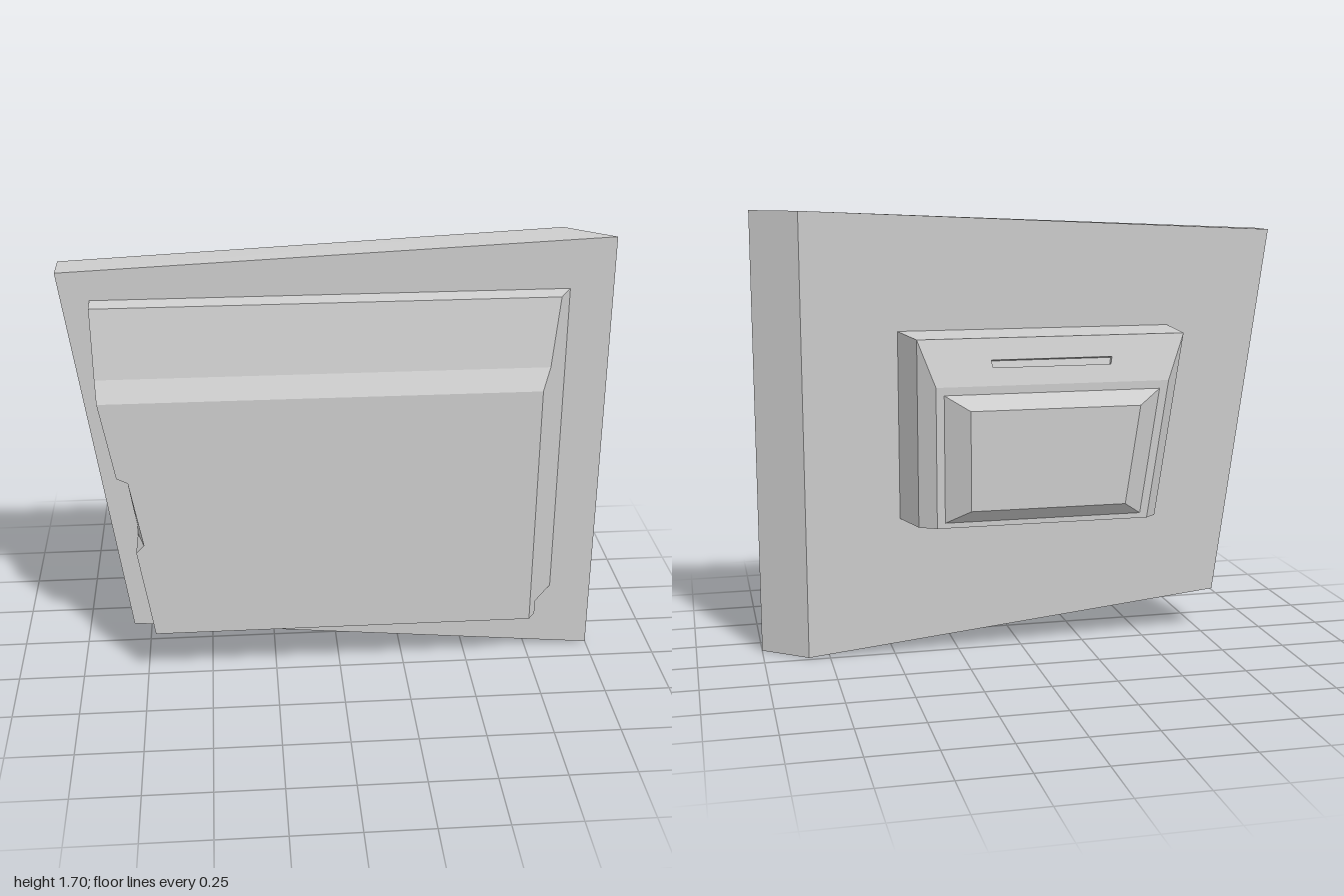
import * as THREE from 'three';

// Add a flat quad (corners counter-clockwise from outside)
function quad(out, a, b, c, d) {
  for (const p of [a, b, c, a, c, d]) out.push(p.x, p.y, p.z);
}

// Quad with a rectangular pocket sunk into it: [u0, u1, v0, v1, depth]
function pocketQuad(out, corners, [u0, u1, v0, v1, depth]) {
  const [a, b, c, d] = corners;
  const at = (u, v) => a.clone().lerp(b, u).lerp(d.clone().lerp(c, u), v);
  const rim = [at(u0, v0), at(u1, v0), at(u1, v1), at(u0, v1)];
  const inward = b.clone().sub(a).cross(d.clone().sub(a)).normalize().multiplyScalar(-depth);
  const floor = rim.map((p) => p.clone().add(inward));
  for (let i = 0; i < 4; i++) {
    const j = (i + 1) % 4;
    quad(out, corners[i], corners[j], rim[j], rim[i]);
    quad(out, rim[i], rim[j], floor[j], floor[i]);
  }
  quad(out, ...floor);
}

// Join four-sided cross-sections, cap both ends, keep every face flat
function loft(sections, pockets = {}) {
  const out = [];
  const rings = sections.map((s) => s.map((p) => new THREE.Vector3(...p)));
  for (let k = 0; k < rings.length - 1; k++) {
    const a = rings[k], b = rings[k + 1];
    for (let i = 0; i < 4; i++) {
      const j = (i + 1) % 4;
      const corners = [a[i], a[j], b[j], b[i]];
      const pocket = pockets[`${k}:${i}`];
      if (pocket) pocketQuad(out, corners, pocket);
      else quad(out, ...corners);
    }
  }
  quad(out, ...rings[0].slice().reverse());
  quad(out, ...rings[rings.length - 1]);
  const geo = new THREE.BufferGeometry();
  geo.setAttribute('position', new THREE.Float32BufferAttribute(out, 3));
  geo.computeVertexNormals();
  return geo;
}

// Section across y: left edge may differ between back and front
const xRight = (z) => 0.84 - (z - 0.15) * 0.71;
const levelSection = (y, zBack, zFront, xBack, xFront = xBack) => [
  [xBack, y, zBack], [xRight(zBack), y, zBack],
  [xRight(zFront), y, zFront], [xFront, y, zFront],
];

// Section across z whose -x edge leans inward toward the bottom
const depthSection = (z, xTop, xr, y0, y1) => [
  [xTop + 0.15 * (y1 - y0), y0, z], [xTop, y1, z], [xr, y1, z], [xr, y0, z],
];

export function createModel() {
  const group = new THREE.Group();
  const grey = new THREE.MeshStandardMaterial({ color: 0xcccccc, flatShading: true });
  grey.name = 'light grey';
  const add = (name, geo) => {
    const mesh = new THREE.Mesh(geo, grey);
    mesh.name = name;
    group.add(mesh);
  };

  // Slanted backing slab with one bevelled edge
  const slab = (z, xr) => [[-0.8, 0.17, z], [xr, 0, z], [xr, 1.7, z], [-1, 1.615, z]];
  add('backingSlab', loft([slab(0.02, 0.83), slab(0.15, 1)]));

  // Front panel: sloped top, bevelled right side, notched left edge
  const panel = [
    [1.51, 0.151, -0.885], [1.5, 0.21, -0.885], [1.25, 0.26, -0.878], [1.175, 0.305, -0.872],
    [0.88, 0.305, -0.82], [0.86, 0.305, -0.80, -0.78], [0.6, 0.305, -0.765, -0.735],
    [0.57, 0.305, -0.765], [0.27, 0.305, -0.718],
  ];
  add('frontPanel', loft(panel.map(([y, z, xb, xf]) => levelSection(y, 0.15, z, xb, xf))));

  // Lip hanging below the panel
  add('panelLip', loft([
    levelSection(0.27, 0.265, 0.305, -0.718),
    levelSection(0.215, 0.265, 0.305, -0.71),
  ]));

  // Rear housing with a side pocket and a slot in its sloped top
  add('rearHousing', loft([
    depthSection(0.02, -0.59, 0.47, 0.53, 1.25),
    depthSection(-0.18, -0.59, 0.43, 0.54, 1.24),
    depthSection(-0.235, -0.515, 0.37, 0.545, 1.07),
  ], {
    '0:0': [0.04, 0.93, 0.12, 0.95, 0.05],
    '1:1': [0.265, 0.745, 0.46, 0.62, 0.02],
  }));

  // Tapered cover on the housing
  add('rearCover', loft([
    depthSection(-0.235, -0.48, 0.34, 0.565, 1.04),
    depthSection(-0.305, -0.385, 0.255, 0.62, 0.99),
  ]));

  return group;
}
